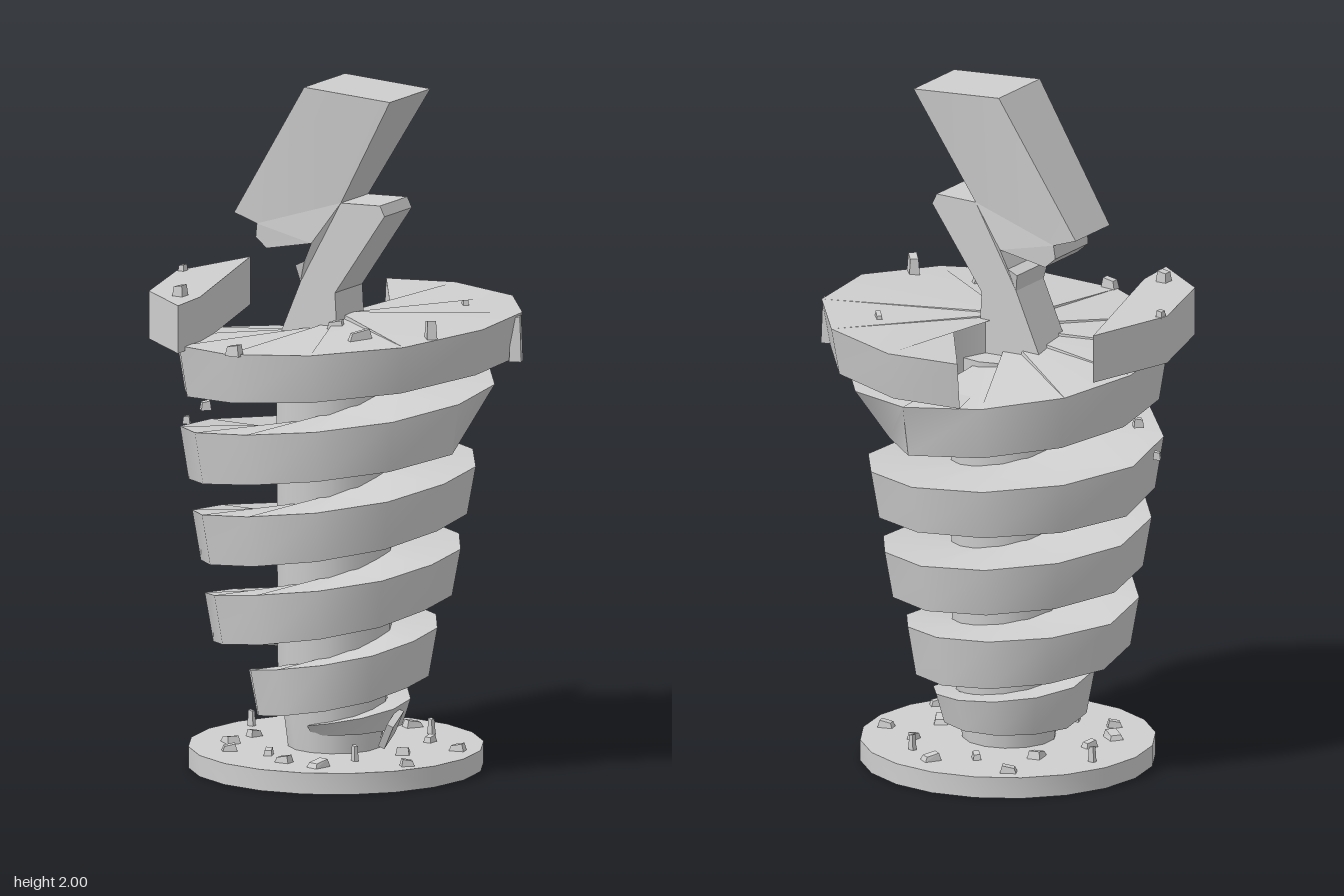
import * as THREE from 'three';
import { toCreasedNormals } from 'three/addons/utils/BufferGeometryUtils.js';

const stone = new THREE.MeshStandardMaterial({ color: 0xcecece });
stone.name = 'pale grey stone';

// Ramp stations, one per quarter turn: [outer radius, centre height, band height]
const stations = [
  [0.17, 0.13, 0.03], [0.21, 0.16, 0.07], [0.22, 0.17, 0.1], [0.25, 0.19, 0.13],
  [0.28, 0.26, 0.14], [0.28, 0.335, 0.14], [0.32, 0.355, 0.15], [0.39, 0.4, 0.14],
  [0.37, 0.49, 0.15], [0.345, 0.57, 0.135], [0.395, 0.59, 0.14], [0.425, 0.64, 0.145],
  [0.41, 0.725, 0.15], [0.39, 0.81, 0.14], [0.435, 0.835, 0.14], [0.47, 0.88, 0.155],
  [0.415, 0.965, 0.15], [0.45, 1.045, 0.15], [0.475, 1.08, 0.15], [0.455, 1.15, 0.16],
  [0.51, 1.215, 0.145], [0.535, 1.28, 0.135], [0.54, 1.255, 0.14], [0.45, 1.23, 0.14],
];

function add(parent, name, geometry, crease = 0.45) {
  const mesh = new THREE.Mesh(toCreasedNormals(geometry, crease), stone);
  mesh.name = name;
  parent.add(mesh);
  return mesh;
}

// Cross-section of the ramp at q quarter turns, starting at the front and climbing to the left
function ringAt(q) {
  const i = Math.min(Math.floor(q), stations.length - 2);
  const [r, y, h] = stations[i].map((v, k) => THREE.MathUtils.lerp(v, stations[i + 1][k], q - i));
  const isTop = q > 18;
  const inner = isTop ? 0.005 : 0.145;
  const mid = isTop ? y + (1.235 - y) * 0.4 : y;
  const chip = q > 17.1 && q < 17.65 ? 0.08 : 0;
  const a = q * Math.PI / 2;
  const point = (radius, height) =>
    new THREE.Vector3(Math.sin(a) * radius, height, Math.cos(a) * radius);
  return [point(r - 0.025 - chip, y - h / 2), point(r, y + h / 2), point(inner, mid + h / 2), point(inner, mid - h / 2)];
}

function rampGeometry() {
  const rings = [ringAt(0)];
  for (let i = 1; i <= 66; i++) rings.push(ringAt(i / 3 - 0.09));
  // The top turn ends in a skewed break
  const last = ringAt(22.17);
  last.slice(2).forEach((p) => p.set(0.07, p.y, -0.18));
  rings.push(last);

  const out = [];
  const quad = (a, b, c, d) => [a, b, c, a, c, d].forEach((p) => out.push(p.x, p.y, p.z));
  for (let i = 0; i < rings.length - 1; i++) {
    for (let k = 0; k < 4; k++) {
      const n = (k + 1) % 4;
      quad(rings[i][k], rings[i + 1][k], rings[i + 1][n], rings[i][n]);
    }
  }
  quad(...rings[0]);
  quad(...[...last].reverse());
  const g = new THREE.BufferGeometry();
  g.setAttribute('position', new THREE.Float32BufferAttribute(out, 3));
  return g;
}

function outline(points) {
  return points.map(([x, y]) => new THREE.Vector2(x, y));
}

// Lightning bolt: thick upper stroke, thinner lower stroke
function boltGeometry() {
  const g = new THREE.ExtrudeGeometry(new THREE.Shape(outline([
    [-0.16, 1.22], [0.05, 1.22], [0.04, 1.4], [0.205, 1.64], [0.19, 1.67], [0.06, 1.665],
    [0.245, 1.985], [-0.04, 2], [-0.285, 1.605], [-0.21, 1.58], [-0.215, 1.54], [-0.18, 1.51],
    [-0.03, 1.54], [-0.055, 1.485], [-0.085, 1.47], [-0.075, 1.42],
  ])), { depth: 2, bevelEnabled: false });
  g.translate(0, 0, -1);
  const p = g.attributes.position;
  for (let i = 0; i < p.count; i++) {
    const y = p.getY(i);
    const lower = y < 1.45 || (p.getX(i) > 0.03 && y < 1.68);
    p.setZ(i, p.getZ(i) * (lower ? 0.077 : 0.09 + (y - 1.5) * 0.05) + 0.005);
  }
  return g;
}

// Chipped pebble: a box narrowed and slanted at the top
function pebble(parent, name, x, y, z, w, h, d, turn) {
  const g = new THREE.BoxGeometry(w, h, d);
  const p = g.attributes.position;
  for (let i = 0; i < p.count; i++) {
    if (p.getY(i) > 0) p.setXYZ(i, p.getX(i) * 0.75, p.getY(i) + p.getX(i) * 0.15, p.getZ(i) * 0.8);
  }
  const m = add(parent, name, g, 0.1);
  m.position.set(x, y, z);
  m.rotation.y = turn;
}

export function createModel() {
  const model = new THREE.Group();
  model.name = 'spiralMonument';

  // Base ring and hollow core
  const disc = add(model, 'baseDisc', new THREE.LatheGeometry(outline([
    [0.12, 0.062], [0.12, 0], [0.425, 0], [0.425, 0.062], [0.12, 0.062],
  ]), 20));
  disc.position.x = -0.005;
  const core = add(model, 'core', new THREE.LatheGeometry(outline([
    [0, 1.1], [0.12, 1.1], [0.12, 0.06], [0.135, 0.06], [0.165, 0.3], [0.17, 1.22], [0, 1.22],
  ]), 14), 0.6);
  core.position.set(-0.003, 0, 0.01);

  add(model, 'spiralRamp', rampGeometry(), 0.7);
  add(model, 'lightningBolt', boltGeometry(), 0.1);

  // Slab broken off the rim of the top turn
  const slab = new THREE.ExtrudeGeometry(new THREE.Shape(outline([
    [-0.45, 0.27], [-0.53, -0.01], [-0.45, -0.3], [-0.27, -0.44], [-0.28, -0.3],
  ])), { depth: 0.14, bevelEnabled: false });
  slab.rotateX(-Math.PI / 2);
  add(model, 'brokenSlab', slab, 0.1).position.y = 1.253;

  // Shard leaning against the foot of the ramp
  const shard = add(model, 'footShard', new THREE.BoxGeometry(0.02, 0.08, 0.1));
  shard.position.set(0.19, 0.13, 0.02);
  shard.rotation.set(0.3, 0.2, -0.5);

  // Rubble on the base
  const rubble = new THREE.Group();
  rubble.name = 'baseRubble';
  model.add(rubble);
  for (let i = 0; i < 17; i++) {
    const a = i * Math.PI * 2 / 17;
    const r = 0.3 + 0.07 * Math.sin(i * 2.7);
    const h = i % 5 === 2 ? 0.045 : 0.018;
    const w = i % 5 === 2 ? 0.02 : 0.045 + 0.012 * Math.sin(i * 1.9);
    pebble(rubble, 'basePebble', Math.sin(a) * r, 0.062 + h / 2, Math.cos(a) * r, w, h, w * 0.7, i * 1.3);
  }

  // Chips on the top turn, the slab and loose around the rim
  const chips = new THREE.Group();
  chips.name = 'topChips';
  model.add(chips);
  [
    [0.277, 1.33, -0.25, 0.045, 0.03, 0.018, -0.9], [0.23, 1.325, 0.26, 0.07, 0.03, 0.02, 0.9],
    [0.43, 1.355, 0.2, 0.055, 0.05, 0.03, -0.9], [0.497, 1.27, -0.165, 0.035, 0.13, 0.03, 0.35],
    [-0.05, 1.295, 0.495, 0.045, 0.03, 0.03, 0], [-0.34, 1.405, 0.31, 0.035, 0.035, 0.035, 0],
    [-0.515, 1.4, 0, 0.02, 0.02, 0.025, 0], [-0.485, 0.965, 0.03, 0.022, 0.022, 0.022, 0.4],
    [-0.38, 1.03, 0.1, 0.03, 0.025, 0.03, 0.7], [0.06, 1.31, 0.11, 0.05, 0.03, 0.03, 0.3],
    [0.1, 1.305, -0.06, 0.04, 0.03, 0.03, 0.5],
  ].forEach((c) => pebble(chips, 'chip', ...c));

  return model;
}
